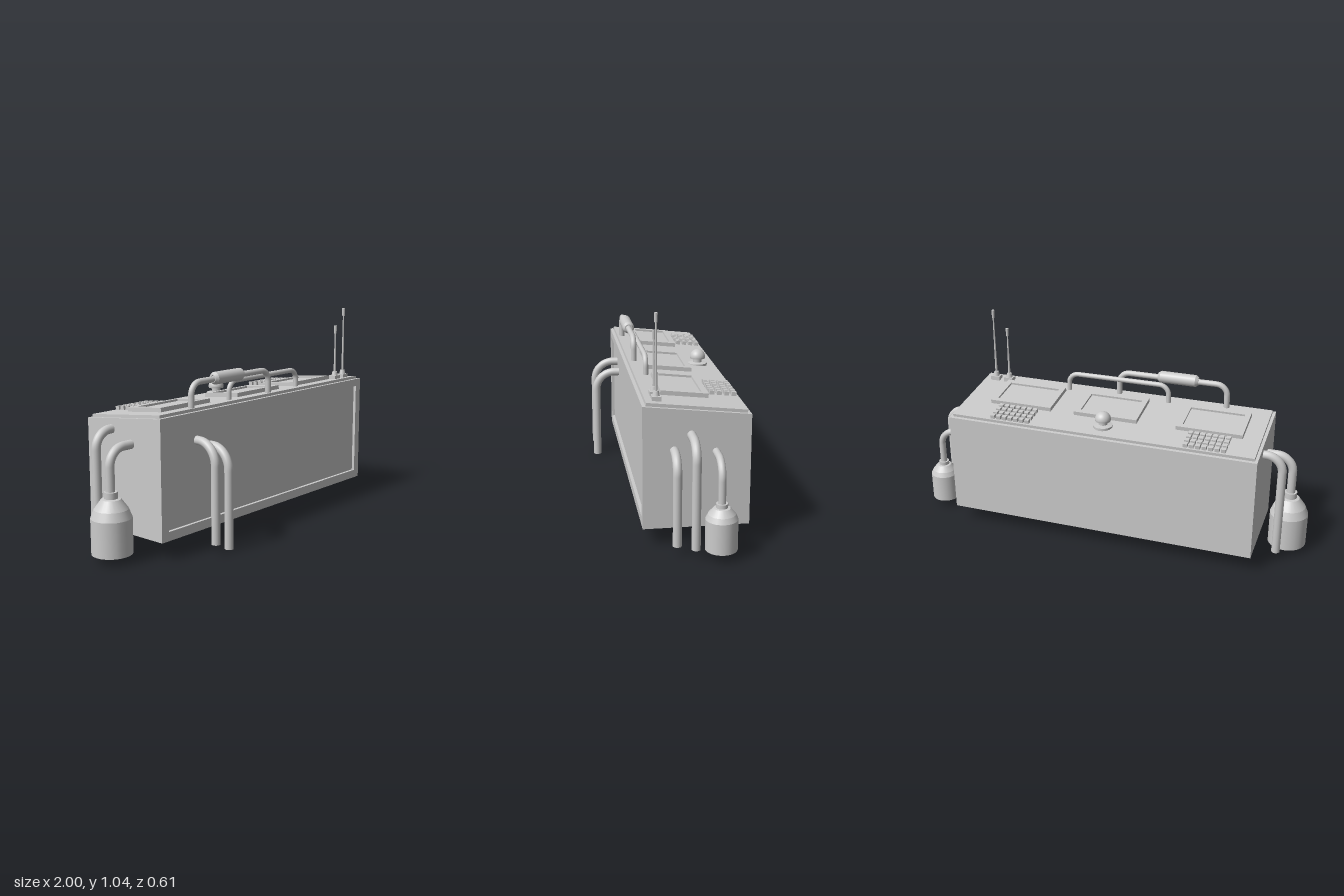
import * as THREE from 'three';

const mat = new THREE.MeshStandardMaterial({ color: 0xcccccc });
const thin = new THREE.MeshStandardMaterial({ color: 0xcccccc, side: THREE.DoubleSide });
const V = (x, y, z) => new THREE.Vector3(x, y, z);

function add(parent, name, geo, x = 0, y = 0, z = 0, material = mat) {
  const m = new THREE.Mesh(geo, material);
  m.name = name;
  m.position.set(x, y, z);
  parent.add(m);
  return m;
}

// Flat four-cornered sheet
function quad(parent, name, a, b, c, d) {
  const g = new THREE.BufferGeometry().setFromPoints([a, b, c, a, c, d]);
  g.computeVertexNormals();
  return add(parent, name, g, 0, 0, 0, thin);
}

function rect(path, x0, y0, x1, y1) {
  path.moveTo(x0, y0).lineTo(x1, y0).lineTo(x1, y1).lineTo(x0, y1).closePath();
  return path;
}

// Rectangle with a rectangular window
function windowShape(o, i) {
  const s = rect(new THREE.Shape(), ...o);
  s.holes.push(rect(new THREE.Path(), ...i));
  return s;
}

// Capped pipe along straight runs with rounded corners
function pipe(parent, name, pts, r, bend) {
  const g = new THREE.Group();
  g.name = name;
  const path = new THREE.CurvePath();
  let from = pts[0];
  for (let i = 1; i < pts.length - 1; i++) {
    const p = pts[i];
    const inDir = p.clone().sub(pts[i - 1]).normalize();
    const outDir = pts[i + 1].clone().sub(p).normalize();
    const a = p.clone().addScaledVector(inDir, -bend);
    const b = p.clone().addScaledVector(outDir, bend);
    path.add(new THREE.LineCurve3(from, a));
    // control points for a near-circular elbow
    path.add(new THREE.CubicBezierCurve3(a, a.clone().addScaledVector(inDir, bend * 0.55),
      b.clone().addScaledVector(outDir, -bend * 0.55), b));
    from = b;
  }
  path.add(new THREE.LineCurve3(from, pts[pts.length - 1]));
  add(g, 'tube', new THREE.TubeGeometry(path, 64, r, 14, false));
  const n = pts.length;
  [[pts[0], pts[1]], [pts[n - 1], pts[n - 2]]].forEach(([end, next]) => {
    const cap = add(g, 'tubeEnd', new THREE.CircleGeometry(r, 14), end.x, end.y, end.z);
    cap.lookAt(end.clone().multiplyScalar(2).sub(next));
  });
  parent.add(g);
}

// Turned part with sharp edges between profile segments
function turned(parent, name, profile, x, y, z, sides = 24) {
  const g = new THREE.Group();
  g.name = name;
  g.position.set(x, y, z);
  for (let i = 1; i < profile.length; i++) {
    const seg = [profile[i - 1], profile[i]].map(p => new THREE.Vector2(...p));
    add(g, 'ring', new THREE.LatheGeometry(seg, sides));
  }
  parent.add(g);
  return g;
}

export function createModel() {
  const root = new THREE.Group();
  root.name = 'controlConsole';
  const L = -0.777, R = 0.783, F = 0.176, B = -0.302;
  const bot = 0.085, yF = 0.647, yB = 0.596;

  // Housing, open underneath, with a sloping top
  const body = new THREE.Group();
  body.name = 'housing';
  root.add(body);
  quad(body, 'rightWall', V(L, bot, B), V(L, bot, F), V(L, yF, F), V(L, yB, B));
  quad(body, 'leftWall', V(R, bot, F), V(R, bot, B), V(R, yB, B), V(R, yF, F));
  quad(body, 'backWall', V(R, bot, B), V(L, bot, B), V(L, yB, B), V(R, yB, B));
  quad(body, 'roof', V(L, yF, F), V(R, yF, F), V(R, yB, B), V(L, yB, B));

  // Front wall with a shallow recessed panel
  const inner = [-0.735, 0.128, 0.743, 0.608];
  const depth = 0.015;
  add(body, 'frontFrame', new THREE.ExtrudeGeometry(windowShape([L, bot, R, yF], inner),
    { depth, bevelEnabled: false }), 0, 0, F - depth);
  quad(body, 'frontPanel', V(inner[0], inner[1], F - depth), V(inner[2], inner[1], F - depth),
    V(inner[2], inner[3], F - depth), V(inner[0], inner[3], F - depth));

  // Sloping deck: local y = 0 is the top of the cover plate
  const deck = new THREE.Group();
  deck.name = 'deck';
  deck.position.set(0.003, 0.636, -0.065);
  deck.rotation.x = -Math.atan(0.109);
  root.add(deck);
  add(deck, 'coverPlate', new THREE.BoxGeometry(1.53, 0.017, 0.448), 0, -0.0085, 0);

  // Three framed screens
  for (const x of [-0.514, 0.01, 0.46]) {
    const frame = windowShape([-0.163, -0.109, 0.163, 0.109], [-0.135, -0.081, 0.135, 0.081]);
    const f = add(deck, 'screenFrame', new THREE.ExtrudeGeometry(frame,
      { depth: 0.02, bevelEnabled: false }), x, 0, 0.035);
    f.rotation.x = -Math.PI / 2;
    add(deck, 'screen', new THREE.BoxGeometry(0.27, 0.01, 0.162), x, 0.005, 0.035);
  }

  // Two key pads
  for (const x of [-0.524, 0.46]) {
    const pad = new THREE.Group();
    pad.name = 'keyPad';
    pad.position.set(x, 0, -0.153);
    deck.add(pad);
    for (let c = 0; c < 7; c++) for (let r = 0; r < 4; r++) {
      add(pad, 'key', new THREE.BoxGeometry(0.022, 0.018, 0.022), (c - 3) * 0.0305, 0.009, (r - 1.5) * 0.034);
    }
  }

  // Domed lamp on a round foot
  const lamp = turned(root, 'lampFoot', [[0.048, -0.02], [0.048, 0.012], [0.022, 0.016], [0.022, 0.035], [0.038, 0.035]],
    0.001, 0.617, -0.2);
  add(lamp, 'lampDome', new THREE.SphereGeometry(0.039, 24, 10, 0, Math.PI * 2, 0, Math.PI / 2), 0, 0.042, 0);
  turned(lamp, 'lampRim', [[0.038, 0.035], [0.039, 0.042]], 0, 0, 0);

  // Two grab rails, the front one with a grip
  pipe(root, 'frontRail', [V(-0.535, 0.645, 0.133), V(-0.535, 0.773, 0.133), V(0.025, 0.773, 0.128), V(0.025, 0.645, 0.128)], 0.0145, 0.055);
  pipe(root, 'rearRail', [V(-0.243, 0.645, 0.104), V(-0.243, 0.743, 0.104), V(0.289, 0.743, 0.1), V(0.289, 0.645, 0.1)], 0.0125, 0.05);
  const grip = turned(root, 'grip', [[0.014, -0.104], [0.02, -0.104], [0.03, -0.09], [0.03, 0.09], [0.02, 0.104], [0.014, 0.104]],
    -0.285, 0.776, 0.131, 18);
  grip.rotation.z = -Math.PI / 2;

  // Two whip antennas
  for (const [x, top] of [[0.634, 0.946], [0.709, 1.037]]) {
    const a = new THREE.Group();
    a.name = 'antenna';
    a.position.set(x, 0, 0.107);
    root.add(a);
    add(a, 'base', new THREE.BoxGeometry(0.048, 0.025, 0.04), 0, 0.662, 0);
    add(a, 'socket', new THREE.CylinderGeometry(0.012, 0.017, 0.022, 10), 0, 0.685, 0);
    const h = top - 0.04 - 0.69;
    add(a, 'rod', new THREE.CylinderGeometry(0.0035, 0.0065, h, 8), 0, 0.69 + h / 2, 0);
    add(a, 'tip', new THREE.CylinderGeometry(0.008, 0.007, 0.042, 8), 0, top - 0.021, 0);
  }

  // Downward pipes on the sides: x, y of bend, z, lower end, radius
  const sidePipes = [
    [-0.906, 0.51, -0.012, 0.3, 0.021], [-0.872, 0.564, -0.139, 0.045, 0.021],
    [0.926, 0.433, -0.147, 0.24, 0.017], [0.922, 0.513, -0.038, 0.042, 0.02], [0.878, 0.444, 0.037, 0.042, 0.02],
  ];
  for (const [x, y, z, end, r] of sidePipes) {
    pipe(root, 'sidePipe', [V(x < 0 ? L + 0.01 : R - 0.01, y, z), V(x, y, z), V(x, end, z)], r, 0.08);
  }

  // Downward pipes at the front
  pipe(root, 'frontPipe', [V(-0.53, 0.512, F - 0.02), V(-0.542, 0.512, 0.285), V(-0.542, 0.045, 0.285)], 0.021, 0.1);
  pipe(root, 'frontPipe', [V(-0.442, 0.475, F - 0.02), V(-0.452, 0.475, 0.285), V(-0.452, 0, 0.285)], 0.021, 0.1);

  // Bottles hanging from the side pipes
  turned(root, 'largeBottle', [[0, 0], [0.094, 0], [0.094, 0.165], [0.078, 0.205], [0.045, 0.25], [0.031, 0.253], [0.031, 0.283], [0, 0.283]],
    -0.906, 0.035, -0.01);
  turned(root, 'smallBottle', [[0, 0], [0.071, 0], [0.071, 0.14], [0.06, 0.163], [0.037, 0.19], [0.026, 0.192], [0.026, 0.21], [0, 0.21]],
    0.926, 0.041, -0.147);

  return root;
}
